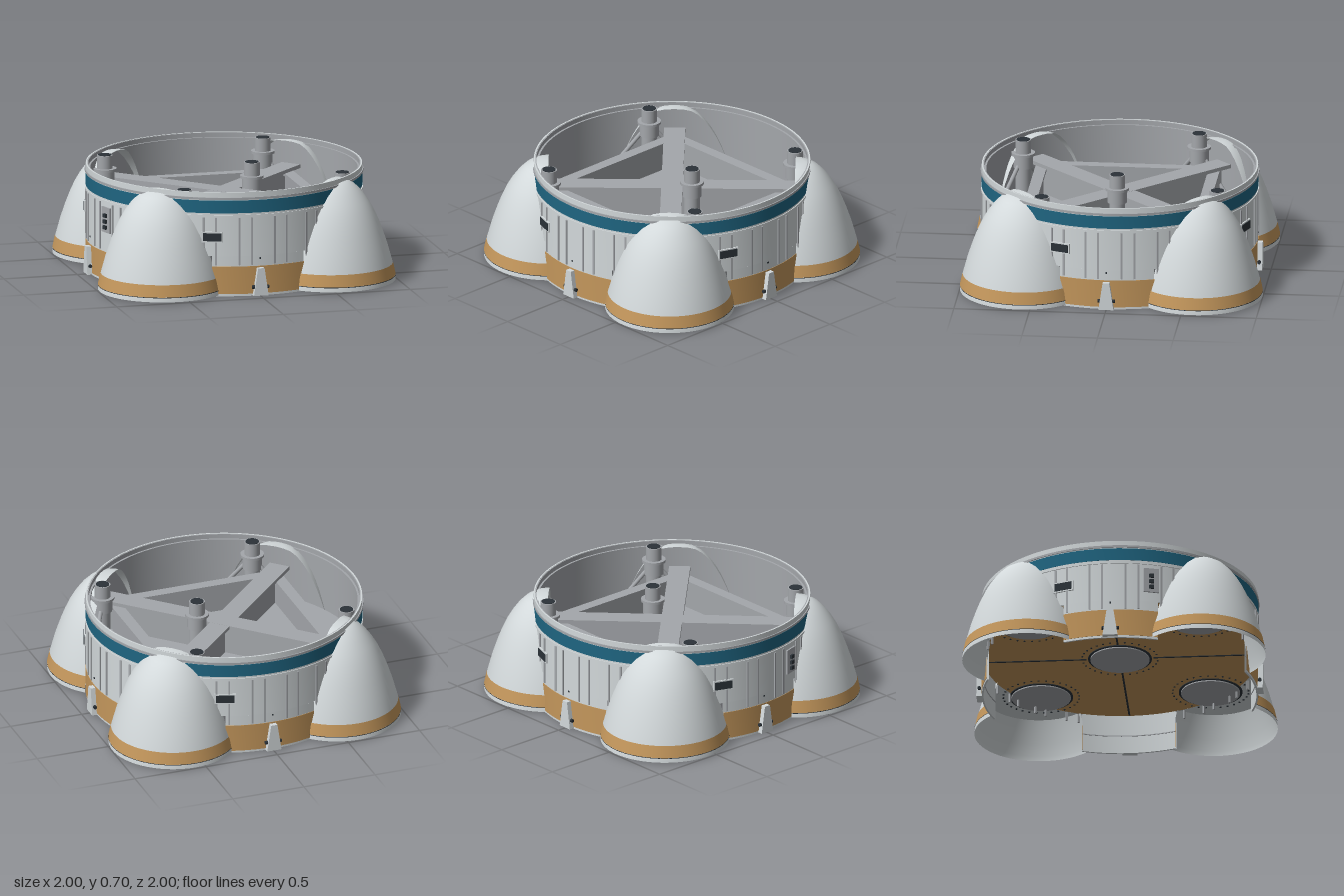
import * as THREE from 'three';
import { toCreasedNormals } from 'three/addons/utils/BufferGeometryUtils.js';

const mat = (name, color, side = THREE.FrontSide) => {
  const m = new THREE.MeshStandardMaterial({ color, side });
  m.name = name;
  return m;
};

export function createModel() {
  const model = new THREE.Group();
  model.name = 'thrustStructure';
  const white = mat('paleGrey', 0xd3d9db, THREE.DoubleSide);
  const tan = mat('tan', 0xc4975c);
  const teal = mat('teal', 0x1f6581);
  const grey = mat('midGrey', 0xa4a7ab);
  const dark = mat('charcoal', 0x2b3238);

  const R = 0.91, FLOOR = 0.27, AXIS = 0.813;
  const rad = THREE.MathUtils.degToRad;
  const corners = [45, 135, 225, 315].map(rad);
  const sides = [0, 90, 180, 270].map(rad);

  const add = (name, geo, m, parent = model) => {
    const mesh = new THREE.Mesh(geo, m);
    mesh.name = name;
    parent.add(mesh);
    return mesh;
  };
  // Sharp-edged ring with a rectangular section
  const ring = (name, r0, r1, y0, y1, m, start = 0, length = Math.PI * 2) => {
    const pts = [[r0, y0], [r1, y0], [r1, y1], [r0, y1], [r0, y0]].map(p => new THREE.Vector2(...p));
    const segs = Math.max(12, Math.round(length / (Math.PI * 2) * 112));
    return add(name, toCreasedNormals(new THREE.LatheGeometry(pts, segs, start, length), 0.6), m);
  };
  const box = (name, w, h, d, x, y, z, m, parent) => {
    const b = add(name, new THREE.BoxGeometry(w, h, d), m, parent);
    b.position.set(x, y, z);
    return b;
  };
  const cyl = (name, r, y0, y1, x, z, m, n = 32, parent) => {
    const c = add(name, new THREE.CylinderGeometry(r, r, y1 - y0, n), m, parent);
    c.position.set(x, (y0 + y1) / 2, z);
    return c;
  };
  // Group turned about the axis, so its own +z points outward at the angle
  const spoke = (name, angle) => {
    const g = new THREE.Group();
    g.name = name;
    g.rotation.y = angle;
    model.add(g);
    return g;
  };
  const strut = (name, a, b, r, m) => {
    const va = new THREE.Vector3(...a), vb = new THREE.Vector3(...b);
    const s = add(name, new THREE.CylinderGeometry(r, r, va.distanceTo(vb), 10), m);
    s.position.copy(va).lerp(vb, 0.5);
    s.quaternion.setFromUnitVectors(new THREE.Vector3(0, 1, 0), vb.sub(va).normalize());
  };

  // Drum wall above the floor
  ring('drumWall', 0.9, R, FLOOR, 0.56, white);
  ring('tealBand', 0.9, R + 0.002, 0.56, 0.645, teal);
  ring('drumTop', 0.9, R, 0.645, 0.7, white);
  ring('innerWall', 0.893, 0.9, 0.285, 0.698, grey);
  ring('bandLedge', R - 0.005, R + 0.006, 0.535, 0.548, white);
  ring('upperLedge', R - 0.005, R + 0.007, 0.65, 0.665, grey);
  ring('rimLip', 0.88, 0.893, 0.655, 0.667, grey);

  // Lower wall and painted skirt, open inside the fairings
  sides.forEach(a => {
    const s = a - rad(20), l = rad(40);
    ring('lowerWall', 0.898, R, 0, FLOOR, white, s, l);
    ring('skirtPaint', R - 0.002, R + 0.003, 0.015, 0.2, tan, s, l);
    ring('innerSeam', 0.894, 0.898, 0.12, 0.126, grey, s, l);
  });

  // Paired stringers
  for (let i = 0; i < 24; i++) {
    const g = spoke('stringerPair', rad(9 + 15 * i));
    [-1, 1].forEach(s => box('stringer', 0.012, 0.32, 0.012, s * 0.042, 0.37, R, grey, g));
  }

  // Floor and heat shield
  cyl('floorTop', 0.895, FLOOR + 0.008, 0.29, 0, 0, grey, 96);
  cyl('heatShield', 0.9, FLOOR, FLOOR + 0.008, 0, 0, tan, 96);
  sides.forEach(a => box('shieldSeam', 0.012, 0.006, 0.66, 0, FLOOR - 0.001, 0.55, dark, spoke('seam', a)));
  const enginePort = g => {
    cyl('portRim', 0.21, FLOOR - 0.006, FLOOR + 0.002, 0, 0, dark, 40, g);
    cyl('enginePort', 0.195, FLOOR - 0.014, FLOOR, 0, 0, grey, 40, g);
    for (let i = 0; i < 32; i++) {
      const t = i / 32 * Math.PI * 2;
      cyl('bolt', 0.007, FLOOR - 0.004, FLOOR + 0.002, 0.25 * Math.sin(t), 0.25 * Math.cos(t), dark, 6, g);
    }
  };
  enginePort(spoke('centrePort', 0));

  // Corner fairings: half-turned ogives
  const profile = [[0.425, 0.008], [0.422, 0.04], [0.405, 0.12], [0.372, 0.24], [0.338, 0.34], [0.311, 0.41],
    [0.279, 0.48], [0.244, 0.54], [0.2, 0.6], [0.155, 0.645], [0.11, 0.672], [0.06, 0.682], [0, 0.685]]
    .map(p => new THREE.Vector2(...p));
  const half = pts => new THREE.LatheGeometry(pts, 40, -Math.PI / 2, Math.PI);
  corners.forEach(a => {
    const g = spoke('fairing', a);
    const shell = new THREE.Group();
    shell.name = 'fairingShell';
    shell.position.z = AXIS;
    g.add(shell);
    add('ogive', half(profile), white, shell);
    add('tanStripe', half([[0.4245, 0.04], [0.4075, 0.12]].map(p => new THREE.Vector2(...p))), tan, shell);
    add('stripeLine', half([[0.4255, 0.036], [0.4252, 0.04]].map(p => new THREE.Vector2(...p))), dark, shell);
    cyl('fairingPlate', 0.355, FLOOR + 0.002, FLOOR + 0.007, 0, 0, white, 40, shell);
    const port = new THREE.Group();
    port.name = 'outerPort';
    port.position.z = 0.79;
    g.add(port);
    enginePort(port);
  });

  // Hold-down posts on the four sides
  const post = new THREE.Shape([[-0.05, 0], [0.05, 0], [0.022, 0.185], [-0.022, 0.185]].map(p => new THREE.Vector2(...p)));
  sides.forEach(a => {
    const g = spoke('holdDown', a);
    const p = add('post', new THREE.ExtrudeGeometry(post, { depth: 0.045, bevelEnabled: false }), white, g);
    p.position.set(0, 0.005, 0.9);
    [-1, 1].forEach(s => {
      const pin = cyl('pin', 0.012, -0.009, 0.009, s * 0.048, 0, dark, 10, g);
      pin.position.set(s * 0.048, 0.062, 0.925);
      pin.rotation.z = Math.PI / 2;
    });
    box('sensor', 0.01, 0.01, 0.008, 0, 0.252, R, dark, g);
  });

  // Framed vents
  sides.forEach(a => {
    const g = spoke('vent', a - rad(20));
    box('ventFrame', 0.14, 0.07, 0.02, 0, 0.4, R, white, g);
    box('ventGrille', 0.122, 0.053, 0.006, 0, 0.4, R + 0.011, dark, g);
  });

  // Connector panel
  const panel = spoke('connectorPanel', rad(-73));
  box('panelPlate', 0.1, 0.17, 0.014, 0, 0.42, R + 0.003, grey, panel);
  [0.37, 0.41, 0.45].forEach(y => box('connector', 0.03, 0.025, 0.022, 0, y, R + 0.012, dark, panel));

  // Cross beams with deep webs
  [45, 135].forEach((d, i) => {
    const g = spoke('crossBeam', rad(d));
    box('flange', 0.14, 0.025, 1.77, 0, 0.507 - i * 0.001, 0, grey, g);
    box('web', 0.03, 0.22, 1.7, 0, 0.39, 0, grey, g);
  });
  // Square frame between the arms
  sides.forEach(a => {
    const g = spoke('frameBeam', a);
    box('frameFlange', 1.08, 0.02, 0.077, 0, 0.485, 0.57, grey, g);
    box('frameWeb', 1.08, 0.19, 0.02, 0, 0.385, 0.57, grey, g);
  });

  // Feed pipes standing on the floor, with collars and braces
  [[0.19, 0], [-0.69, -0.455], [0.45, -0.69], [0.685, 0.45], [-0.455, 0.685]].forEach(([x, z], i) => {
    cyl('feedPipe', 0.052, 0.28, 0.69, x, z, grey);
    cyl('pipeCollar', 0.078, 0.585, 0.602, x, z, grey);
    cyl('pipeSleeve', 0.064, 0.5, 0.585, x, z, grey);
    cyl('pipeMouth', 0.044, 0.688, 0.693, x, z, dark);
    if (i > 0) {
      const k = 0.3;
      strut('brace', [x, 0.58, z], [x - k * z, 0.29, z + k * x], 0.014, grey);
      strut('brace', [x, 0.58, z], [x + k * z, 0.29, z - k * x], 0.014, grey);
    }
  });

  return model;
}
